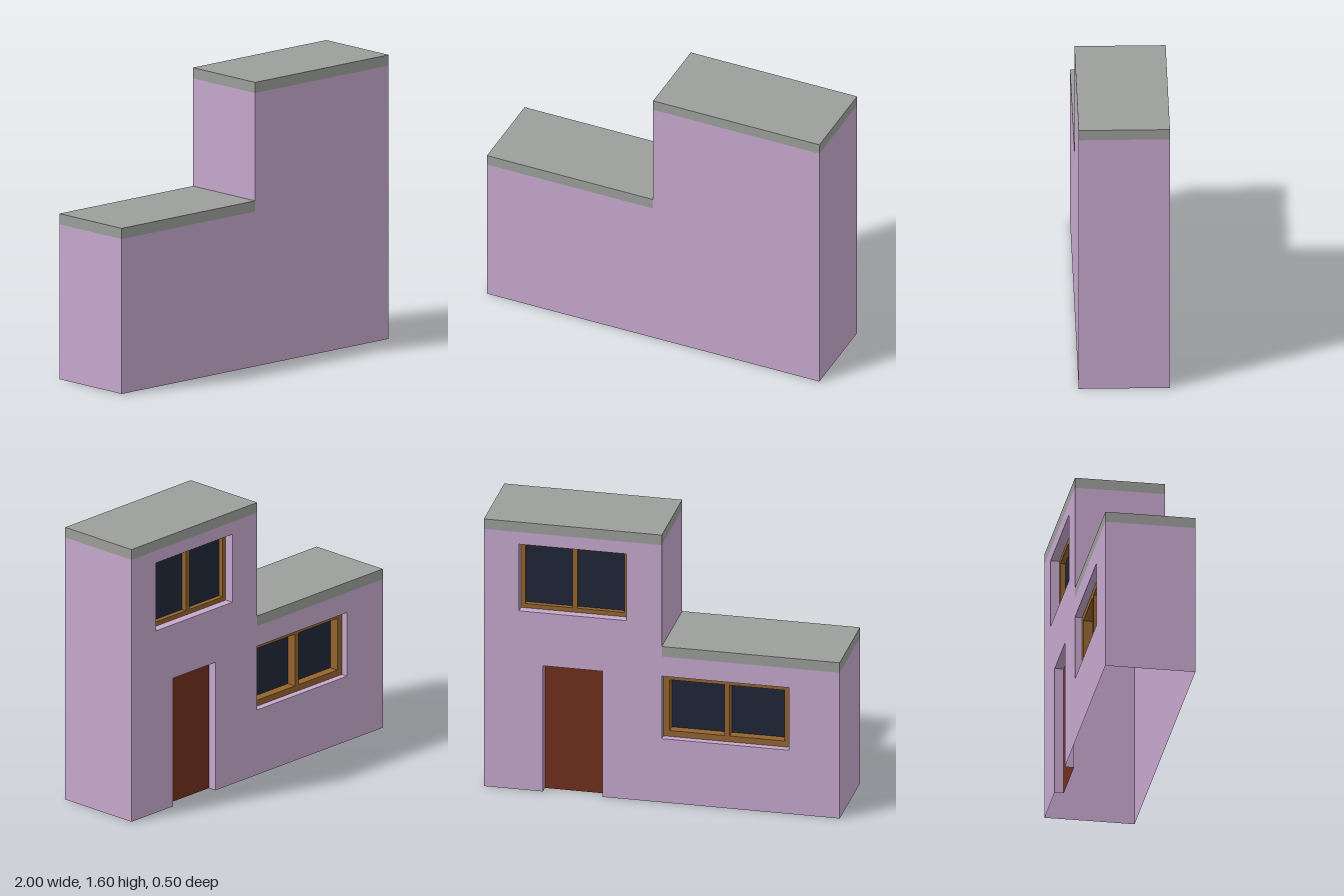
import * as THREE from 'three';

const mat = (color) => new THREE.MeshStandardMaterial({ color, side: THREE.DoubleSide, flatShading: true });
const WALL = mat(0xc6a8cd), ROOF = mat(0x9c9e9b), WOOD = mat(0x94642f), GLASS = mat(0x202639), DOOR = mat(0x702f1c);

const HALF = 0.25;            // half depth of the house
const LOW = 0.87, HIGH = 1.535, SLAB = 0.06;

// openings in the back wall
const windows = [
  { name: 'upperWindow', x0: 0.197, x1: 0.803, y0: 1.065, y1: 1.463, recess: 0.05, bar: 0.025, depth: 0.03 },
  { name: 'lowerWindow', x0: -0.716, x1: 0, y0: 0.38, y1: 0.753, recess: 0.04, bar: 0.035, depth: 0.055 },
];
const door = { x0: 0.332, x1: 0.668, y1: 0.75, recess: 0.05 };

const pts = (list) => list.map(([x, y]) => new THREE.Vector2(x, y));

export function createModel() {
  const house = new THREE.Group();
  house.name = 'house';

  const add = (parent, name, geometry, material, x = 0, y = 0, z = 0) => {
    const mesh = new THREE.Mesh(geometry, material);
    mesh.name = name;
    mesh.position.set(x, y, z);
    parent.add(mesh);
    return mesh;
  };
  const box = (parent, name, x0, x1, y0, y1, z0, z1, material) =>
    add(parent, name, new THREE.BoxGeometry(x1 - x0, y1 - y0, z1 - z0), material,
      (x0 + x1) / 2, (y0 + y1) / 2, (z0 + z1) / 2);
  const panel = (parent, name, x0, x1, y0, y1, z, material) => {
    const mesh = add(parent, name, new THREE.PlaneGeometry(x1 - x0, y1 - y0), material, (x0 + x1) / 2, (y0 + y1) / 2, z);
    mesh.rotation.y = Math.PI;
  };

  // strip of quads following an outline from the back face inwards
  const reveal = (parent, name, outline, recess) => {
    const v = [];
    const z0 = -HALF, z1 = -HALF + recess;
    for (let i = 0; i < outline.length - 1; i++) {
      const [ax, ay] = outline[i], [bx, by] = outline[i + 1];
      v.push(ax, ay, z0, bx, by, z0, bx, by, z1, ax, ay, z0, bx, by, z1, ax, ay, z1);
    }
    const g = new THREE.BufferGeometry();
    g.setAttribute('position', new THREE.Float32BufferAttribute(v, 3));
    g.computeVertexNormals();
    add(parent, name, g, WALL);
  };

  // front wall: stepped outline
  const top = [[1, HIGH], [0, HIGH], [0, LOW], [-1, LOW]];
  add(house, 'frontWall', new THREE.ShapeGeometry(new THREE.Shape(pts([[-1, 0], [1, 0], ...top]))), WALL, 0, 0, HALF);

  // back wall: same outline with the doorway notch and window holes
  const doorway = [[door.x0, 0], [door.x0, door.y1], [door.x1, door.y1], [door.x1, 0]];
  const back = new THREE.Shape(pts([[-1, 0], ...doorway, [1, 0], ...top]));
  for (const w of windows) {
    back.holes.push(new THREE.Path(pts([[w.x0, w.y0], [w.x0, w.y1], [w.x1, w.y1], [w.x1, w.y0]])));
  }
  add(house, 'backWall', new THREE.ShapeGeometry(back), WALL, 0, 0, -HALF);

  // side walls and the step between the two heights
  for (const [name, x, y0, y1, turn] of [
    ['tallSideWall', 1, 0, HIGH, 1], ['lowSideWall', -1, 0, LOW, -1], ['stepWall', 0, LOW, HIGH, -1]]) {
    const wall = add(house, name, new THREE.PlaneGeometry(2 * HALF, y1 - y0), WALL, x, (y0 + y1) / 2, 0);
    wall.rotation.y = turn * Math.PI / 2;
  }

  // flat roof slabs
  box(house, 'lowRoof', -1, 0, LOW, LOW + SLAB, -HALF, HALF, ROOF);
  box(house, 'tallRoof', 0, 1, HIGH, HIGH + SLAB, -HALF, HALF, ROOF);

  // recessed door
  const doorGroup = new THREE.Group();
  doorGroup.name = 'door';
  house.add(doorGroup);
  reveal(doorGroup, 'doorReveal', doorway, door.recess);
  panel(doorGroup, 'doorPanel', door.x0, door.x1, 0, door.y1, -HALF + door.recess, DOOR);

  // recessed two-pane windows
  for (const { name, x0, x1, y0, y1, recess, bar, depth } of windows) {
    const win = new THREE.Group();
    win.name = name;
    house.add(win);
    reveal(win, 'windowReveal', [[x0, y0], [x0, y1], [x1, y1], [x1, y0], [x0, y0]], recess);
    const zf = -HALF + recess, zb = zf + depth, xm = (x0 + x1) / 2;
    box(win, 'bottomRail', x0, x1, y0, y0 + bar, zf, zb, WOOD);
    box(win, 'topRail', x0, x1, y1 - bar, y1, zf, zb, WOOD);
    for (const [part, a, b] of [['stile', x0, x0 + bar], ['stile', x1 - bar, x1], ['mullion', xm - 0.014, xm + 0.014]]) {
      box(win, part, a, b, y0 + bar, y1 - bar, zf, zb, WOOD);
    }
    panel(win, 'glass', x0 + bar, x1 - bar, y0 + bar, y1 - bar, zb - 0.002, GLASS);
  }
  return house;
}
